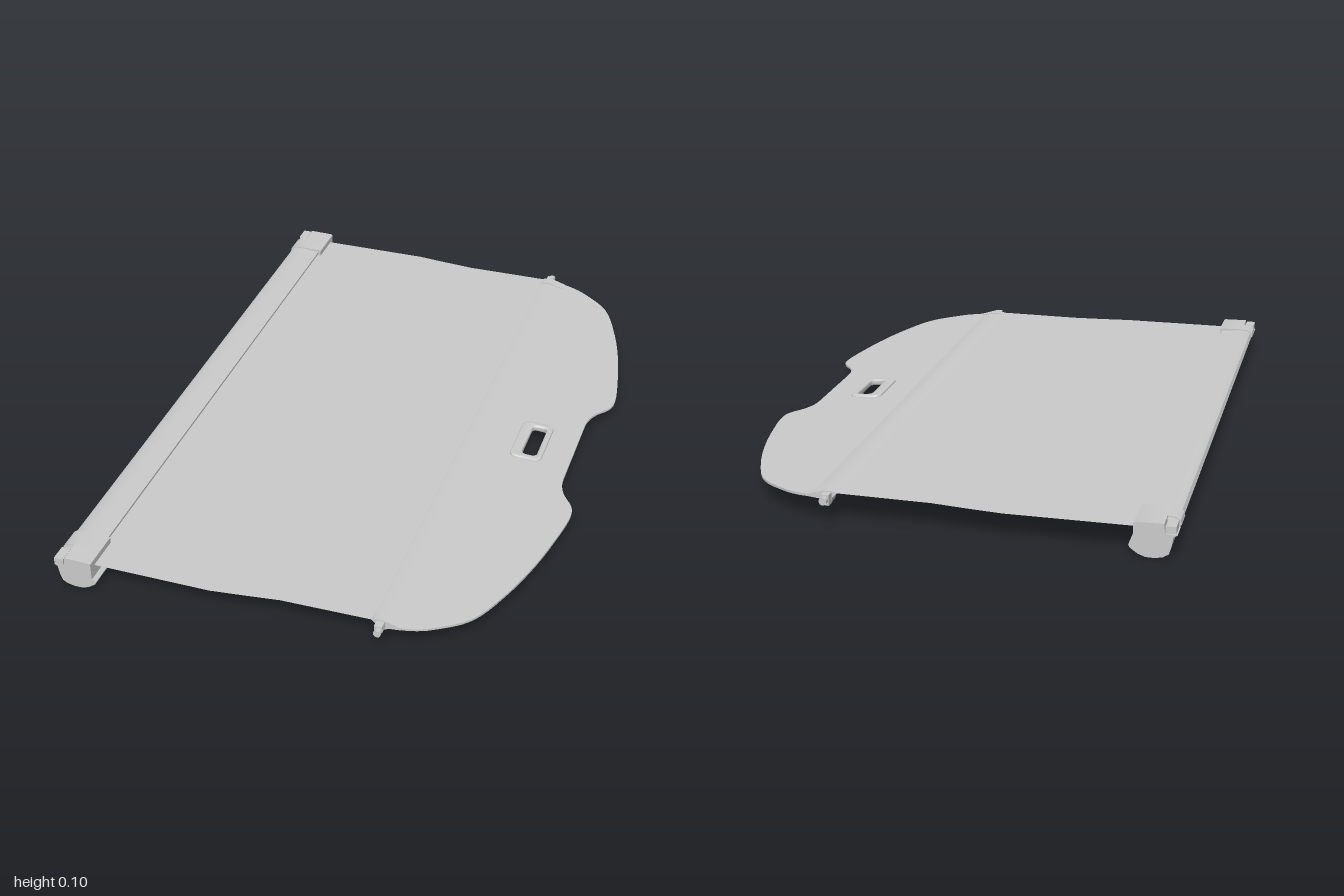
import * as THREE from 'three';
import { toCreasedNormals } from 'three/addons/utils/BufferGeometryUtils.js';

const grey = new THREE.MeshStandardMaterial({ color: 0xcccccc });
const greyDouble = new THREE.MeshStandardMaterial({ color: 0xcccccc, side: THREE.DoubleSide });

function add(parent, name, geometry, material = grey) {
  const mesh = new THREE.Mesh(geometry, material);
  mesh.name = name;
  parent.add(mesh);
  return mesh;
}

const toShape = (points) => new THREE.Shape(points.map(([x, y]) => new THREE.Vector2(x, y)));

// Solid with an (x, y) profile running between two z positions
function prism(profile, za, zb) {
  const g = new THREE.ExtrudeGeometry(toShape(profile), { depth: Math.abs(zb - za), bevelEnabled: false });
  g.translate(0, 0, Math.min(za, zb));
  return toCreasedNormals(g, 0.6);
}

// Rounded rectangle in plan, centred on (cx, 0)
function roundedRect(Type, cx, w, h, r) {
  const s = new Type();
  [[1, 1], [-1, 1], [-1, -1], [1, -1]].forEach(([sx, sy], i) => {
    s.absarc(cx + sx * (w / 2 - r), sy * (h / 2 - r), r, i * Math.PI / 2, (i + 1) * Math.PI / 2, false);
  });
  s.closePath();
  return s;
}

// Plan shape laid flat, then sheared to the slope of the rear board
const boardY = (x) => 0.071 - 0.055 * (x - 0.34);
function slab(shape, thickness, bevel = 0) {
  const g = new THREE.ExtrudeGeometry(shape, {
    depth: thickness - 2 * bevel, bevelEnabled: bevel > 0, bevelSize: bevel,
    bevelThickness: bevel, bevelOffset: -bevel, bevelSegments: 3, curveSegments: 8,
  });
  g.rotateX(-Math.PI / 2);
  g.translate(0, bevel - thickness / 2, 0);
  const p = g.attributes.position;
  for (let i = 0; i < p.count; i++) p.setY(i, p.getY(i) + boardY(p.getX(i)));
  return toCreasedNormals(g, 0.6);
}

// Fabric strip from stations of [x, y, half width]
function fabricGeometry(stations) {
  const pos = [], index = [];
  stations.forEach(([x, y, w], i) => {
    pos.push(x, y, -w, x, y, w);
    if (i) {
      const a = 2 * i - 2;
      index.push(a, a + 1, a + 2, a + 1, a + 3, a + 2);
    }
  });
  const g = new THREE.BufferGeometry();
  g.setAttribute('position', new THREE.Float32BufferAttribute(pos, 3));
  g.setIndex(index);
  g.computeVertexNormals();
  return g;
}

export function createModel() {
  const model = new THREE.Group();
  model.name = 'cargoCover';

  // Roller housing with a slot along its front edge
  add(model, 'rollerHousing', prism([
    [-0.56, 0.091], [-0.62, 0.095], [-0.648, 0.094], [-0.66, 0.088], [-0.666, 0.076], [-0.661, 0.06],
    [-0.65, 0.046], [-0.634, 0.035], [-0.612, 0.03], [-0.59, 0.033], [-0.573, 0.042],
    [-0.562, 0.056], [-0.56, 0.07], [-0.58, 0.07], [-0.58, 0.084], [-0.56, 0.084],
  ], -0.95, 0.95));

  // Fabric cover
  add(model, 'fabric', fabricGeometry([
    [-0.578, 0.077, 0.975], [-0.2, 0.078, 0.975], [-0.1, 0.0785, 0.964], [0, 0.08, 0.953],
    [0.27, 0.083, 0.951],
  ]), greyDouble);

  // Pull rail, tapering into the rear board
  add(model, 'pullRail', prism([
    [0.262, 0.082], [0.275, 0.0845], [0.3, 0.085], [0.32, 0.081], [0.345, 0.073],
    [0.345, 0.068], [0.315, 0.067], [0.29, 0.07], [0.272, 0.078],
  ], -0.935, 0.935));

  // Rear board: half outline mirrored about its centre line
  const curve = new THREE.SplineCurve([
    [0.335, 0.95], [0.37, 0.945], [0.43, 0.917], [0.52, 0.842], [0.58, 0.71], [0.625, 0.56],
    [0.655, 0.41], [0.667, 0.32], [0.66, 0.27], [0.625, 0.22], [0.608, 0.17], [0.606, 0.1],
  ].map(([x, y]) => new THREE.Vector2(x, y)));
  const half = curve.getPoints(48).map((v) => [v.x, v.y]);
  const board = toShape([...half, ...half.map(([x, y]) => [x, -y]).reverse()].reverse());
  board.holes.push(roundedRect(THREE.Path, 0.478, 0.06, 0.164, 0.018));
  add(model, 'rearBoard', slab(board, 0.007));

  // Handle frame around the opening
  const handle = roundedRect(THREE.Shape, 0.47, 0.1, 0.194, 0.022);
  handle.holes.push(roundedRect(THREE.Path, 0.478, 0.046, 0.15, 0.014));
  add(model, 'handleFrame', slab(handle, 0.02, 0.005));

  for (const side of [1, -1]) {
    const label = side > 0 ? 'left' : 'right';
    const end = new THREE.Group();
    end.name = label + 'EndFittings';
    model.add(end);

    // Housing end cap: full collar inside, notched section outside
    const lower = [
      [-0.657, 0.064], [-0.652, 0.035], [-0.646, 0.016], [-0.632, 0.007], [-0.61, 0.002],
      [-0.585, 0.003], [-0.565, 0.01], [-0.543, 0.026], [-0.54, 0.034], [-0.552, 0.042],
      [-0.552, 0.095], [-0.558, 0.098],
    ];
    add(end, 'endCapCollar', prism([...lower, [-0.62, 0.099], [-0.652, 0.097], [-0.666, 0.088], [-0.669, 0.075]],
      side * 0.87, side * 0.937));
    add(end, 'endCap', prism([...lower, [-0.632, 0.099], [-0.635, 0.072], [-0.667, 0.07]],
      side * 0.936, side * 0.998));

    // Locking peg sitting in the notch
    add(end, 'lockingPeg', new THREE.BoxGeometry(0.028, 0.02, 0.05)).position.set(-0.65, 0.084, side * 0.975);
    add(end, 'pegWeb', prism([[-0.655, 0.07], [-0.645, 0.07], [-0.645, 0.085], [-0.655, 0.085]],
      side * 0.936, side * 0.985));

    // Rail end bracket and its guide pin
    add(end, 'railBracket', prism([
      [0.265, 0.083], [0.28, 0.088], [0.305, 0.088], [0.35, 0.074], [0.35, 0.068],
      [0.315, 0.064], [0.298, 0.056], [0.282, 0.056], [0.278, 0.07],
    ], side * 0.92, side * 0.952));
    add(end, 'guidePin', prism([
      [0.28, 0.085], [0.303, 0.085], [0.305, 0.068], [0.295, 0.056], [0.281, 0.054],
    ], side * 0.945, side * 0.975));
    const tip = add(end, 'guidePinTip', new THREE.CylinderGeometry(0.011, 0.011, 0.04, 16));
    tip.rotation.x = Math.PI / 2;
    tip.position.set(0.293, 0.071, side * 0.97);
  }
  return model;
}
